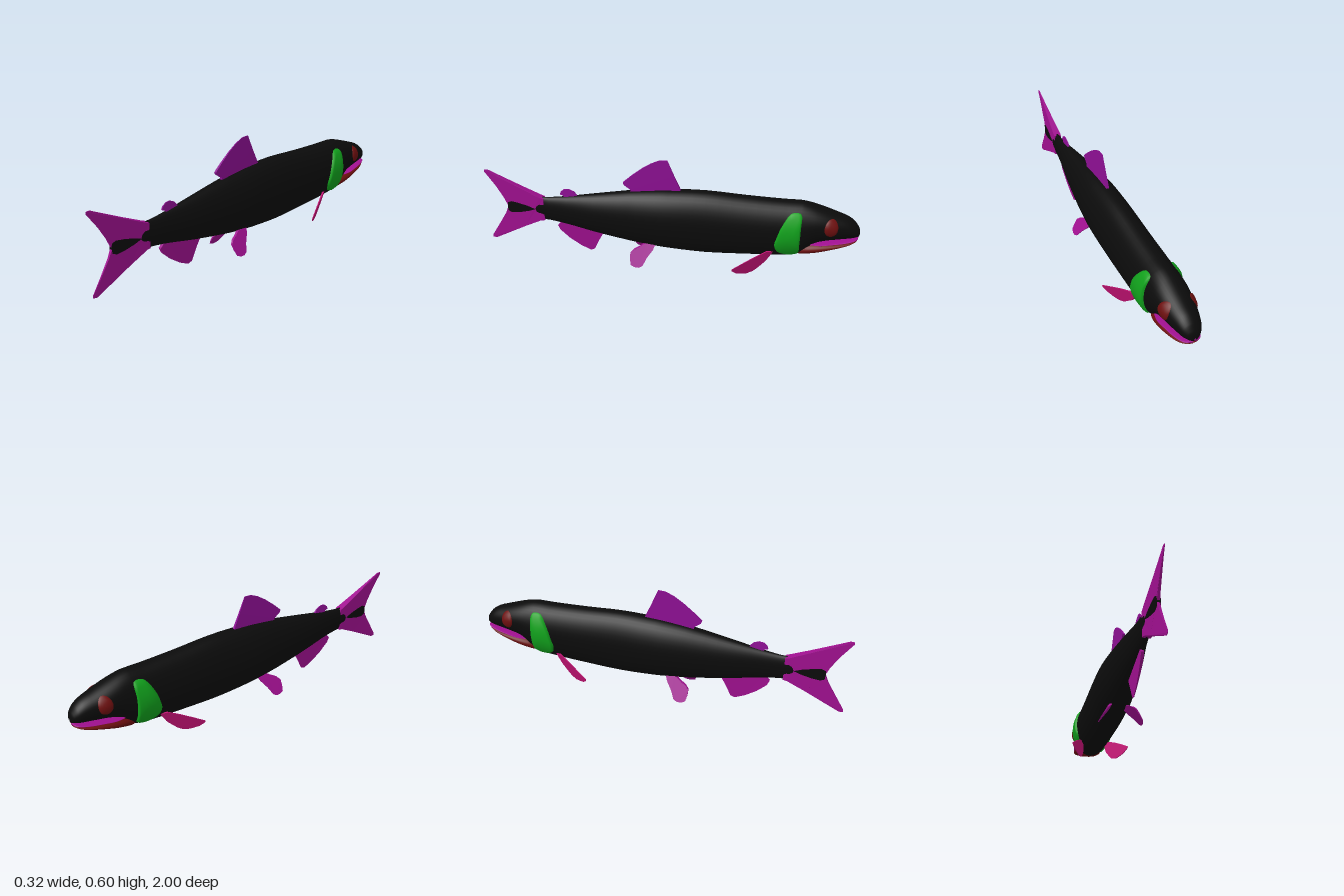
import * as THREE from 'three';

const paint = (name, color, side = THREE.FrontSide) => {
  const m = new THREE.MeshStandardMaterial({ color, side });
  m.name = name;
  return m;
};

// Body stations along z: [z, top, bottom, half width]; the head points to -z
const BODY = [
  [-1, .262, .252, .004], [-.995, .285, .243, .022], [-.985, .302, .24, .036], [-.965, .325, .234, .05],
  [-.93, .348, .228, .062], [-.88, .366, .22, .074], [-.82, .387, .208, .085], [-.77, .403, .188, .091],
  [-.73, .414, .15, .095], [-.69, .42, .116, .098], [-.6, .42, .1, .1], [-.4, .427, .086, .1],
  [-.2, .438, .077, .1], [0, .432, .086, .1], [.1, .423, .096, .094], [.2, .41, .109, .084], [.4, .376, .145, .06],
  [.55, .35, .178, .037], [.65, .336, .195, .025], [.7, .333, .2, .021], [.72, .322, .212, .019],
  [.732, .303, .232, .015], [.738, .272, .262, .003]
];
const JAW = [
  [-.66, .17, .13, .03], [-.7, .19, .12, .058], [-.74, .203, .13, .072], [-.8, .212, .147, .076],
  [-.87, .216, .172, .07], [-.93, .221, .193, .058], [-.965, .225, .208, .044], [-.985, .23, .218, .026], [-.992, .227, .224, .004]
].reverse();
const LIP = [
  [-.994, .241, .23, .006], [-.987, .241, .228, .032], [-.965, .237, .223, .049],
  [-.92, .23, .216, .063], [-.86, .222, .21, .073], [-.8, .214, .204, .08], [-.75, .207, .2, .07]
];

// Smoothly interpolated section at z
function section(rows, z) {
  let i = 0;
  while (i < rows.length - 2 && z > rows[i + 1][0]) i++;
  const a = rows[i], b = rows[i + 1], p = rows[i - 1] || a, q = rows[i + 2] || b;
  const d = b[0] - a[0], t = THREE.MathUtils.clamp((z - a[0]) / d, 0, 1), t2 = t * t, t3 = t2 * t;
  return [1, 2, 3].map(k => {
    const m0 = (b[k] - p[k]) / (b[0] - p[0]) * d, m1 = (q[k] - a[k]) / (q[0] - a[0]) * d;
    return (2 * t3 - 3 * t2 + 1) * a[k] + (t3 - 2 * t2 + t) * m0 + (3 * t2 - 2 * t3) * b[k] + (t3 - t2) * m1;
  });
}

function build(pos, idx) {
  const g = new THREE.BufferGeometry();
  g.setAttribute('position', new THREE.Float32BufferAttribute(pos, 3));
  g.setIndex(idx);
  g.computeVertexNormals();
  return g;
}

// Elliptical loft through stations
function loft(rows, sides = 40, sub = 3) {
  const zs = [], pos = [], idx = [];
  rows.forEach((r, i) => {
    const n = rows[i + 1];
    if (!n) zs.push(r[0]);
    else for (let k = 0; k < sub; k++) zs.push(r[0] + (n[0] - r[0]) * k / sub);
  });
  zs.forEach((z, i) => {
    const [top, bot, w] = section(rows, z);
    for (let j = 0; j < sides; j++) {
      const a = j / sides * Math.PI * 2;
      pos.push(w * Math.cos(a), (top + bot) / 2 + (top - bot) / 2 * Math.sin(a), z);
      if (i === zs.length - 1) continue;
      const p = i * sides + j, q = i * sides + (j + 1) % sides;
      idx.push(p, q, p + sides, q, q + sides, p + sides);
    }
  });
  return build(pos, idx);
}

// Half width of the body at a given height and z
function skin(y, z) {
  const [top, bot, w] = section(BODY, z);
  const k = (y - (top + bot) / 2) / ((top - bot) / 2);
  return w * Math.sqrt(Math.max(0, 1 - k * k));
}

// Domed plate lying on the body; rings are [scale, height above skin]
function plate(outline, rings, side) {
  const n = outline.length, c = [0, 1].map(k => outline.reduce((s, p) => s + p[k], 0) / n);
  const pos = [], idx = [];
  const put = (z, y, h) => pos.push(side * (skin(y, z) + h), y, z);
  const tri = (a, b, d) => side > 0 ? idx.push(a, b, d) : idx.push(a, d, b);
  rings.forEach(([s, h], r) => outline.forEach(([z, y], j) => {
    put(c[0] + (z - c[0]) * s, c[1] + (y - c[1]) * s, h);
    const p = r * n + j, q = r * n + (j + 1) % n;
    if (r < rings.length - 1) { tri(p, q, p + n); tri(q, q + n, p + n); }
    else tri(p, q, rings.length * n);
  }));
  put(c[0], c[1], rings[rings.length - 1][1]);
  return build(pos, idx);
}

// Fin from a [z, y] outline; half thickness and sideways position follow rules
function fin(outline, thick, lean = () => 0) {
  const shape = new THREE.Shape(outline.map(([z, y]) => new THREE.Vector2(-z, y)));
  const g = new THREE.ExtrudeGeometry(shape, { depth: 1, bevelEnabled: false });
  const p = g.attributes.position;
  for (let i = 0; i < p.count; i++) {
    const z = -p.getX(i), y = p.getY(i), d = p.getZ(i) * 2 - 1;
    p.setXYZ(i, lean(y, z) + d * thick(y, z), y, z);
  }
  g.computeVertexNormals();
  return g;
}

// Thickness falling from root to tip by height
const taper = (root, tip, t0) => y =>
  THREE.MathUtils.lerp(t0, .0015, THREE.MathUtils.clamp((y - root) / (tip - root), 0, 1));

export function createModel() {
  const fish = new THREE.Group();
  fish.name = 'fish';
  const black = paint('black skin', 0x0b0b0b);
  const red = paint('dark red', 0x6c0f0f);
  const green = paint('gill green', 0x11a01c, THREE.DoubleSide);
  const purple = paint('dorsal purple', 0x8c0f92);
  const magenta = paint('tail magenta', 0xa01090);
  const pink = paint('pectoral pink', 0xc01272);
  const add = (name, geo, mat) => {
    const m = new THREE.Mesh(geo, mat);
    m.name = name;
    fish.add(m);
  };

  // Body and mouth
  add('body', loft(BODY), black);
  add('lowerJaw', loft(JAW), red);
  add('lip', loft(LIP), magenta);

  // Fins on the centre line
  add('dorsalFin', fin([[-.065, .4], [-.065, .435], [-.03, .515], [.005, .6], [.045, .598], [.09, .578], [.14, .545],
    [.195, .5], [.24, .458], [.235, .445], [.2, .42], [.2, .38]], taper(.42, .6, .008)), purple);
  add('adiposeFin', fin([[.485, .34], [.495, .36], [.51, .381], [.54, .395], [.565, .391], [.583, .376], [.588, .36],
    [.57, .355], [.56, .33]], taper(.34, .395, .007)), purple);
  add('analFin', fin([[.355, .18], [.355, .145], [.385, .09], [.412, .03], [.435, .02], [.49, .047], [.55, .09],
    [.6, .14], [.612, .168], [.58, .2]], taper(.16, .02, .008)), magenta);

  // Tail fin with a dark lobe at its middle
  const tailThick = (y, z) => THREE.MathUtils.lerp(.02, .0015, THREE.MathUtils.clamp((z - .7) / .27, 0, 1));
  add('tailFin', fin([[.68, .2], [.7, .198], [.8, .148], [.9, .094], [.98, .052], [1, .055], [1, .068], [.945, .155],
    [.905, .22], [.885, .265], [.905, .315], [.945, .385], [1, .465], [1, .477], [.98, .478],
    [.9, .437], [.8, .386], [.7, .337], [.68, .33]], tailThick), magenta);
  add('tailLobe', fin([[.73, .265], [.77, .25], [.82, .237], [.865, .231], [.885, .24], [.888, .265], [.885, .29],
    [.865, .299], [.82, .292], [.77, .28]], (y, z) => tailThick(y, z) + .003), black);

  // Outlines of the paired parts
  const pectoral = [[-.565, .15], [-.53, .155], [-.47, .13], [-.41, .1], [-.358, .072], [-.358, .06], [-.38, .038],
    [-.41, .027], [-.435, .022], [-.465, .03], [-.485, .045], [-.53, .09]];
  const pelvic = [[.06, .125], [.075, .09], [.105, .05], [.125, .012], [.145, .002], [.17, .003], [.19, .012],
    [.197, .04], [.197, .068], [.18, .085], [.15, .1], [.11, .125]];
  const gill = new THREE.CatmullRomCurve3([[-.692, .15], [-.694, .22], [-.694, .31], [-.692, .38], [-.665, .387],
    [-.635, .378], [-.595, .315], [-.574, .25], [-.565, .2], [-.585, .153], [-.64, .131], [-.67, .135]]
    .map(([z, y]) => new THREE.Vector3(z, y, 0)), true, 'centripetal').getPoints(47).slice(0, -1).map(v => [v.x, v.y]);
  const eye = Array.from({ length: 28 }, (_, i) => {
    const a = i / 28 * Math.PI * 2;
    return [-.845 - .036 * Math.cos(a), .313 + .048 * Math.sin(a)];
  });

  for (const side of [1, -1]) {
    const tag = side > 0 ? 'left' : 'right';
    add(tag + 'PectoralFin', fin(pectoral, (y, z) => .002 + .004 * Math.max(0, (-.42 - z) / .13),
      (y, z) => side * (.329 + .241 * y + .528 * z)), pink);
    add(tag + 'PelvicFin', fin(pelvic, taper(.11, 0, .007), y => side * (.112 - .62 * y)), magenta);
    add(tag + 'GillPlate', plate(gill, [[1, -.006], [.96, .009], [.8, .012], [.5, .013], [.25, .014]], side), green);
    add(tag + 'Eye', plate(eye, [[1, -.003], [.9, .004], [.7, .007], [.4, .009]], side), red);
  }
  return fish;
}
